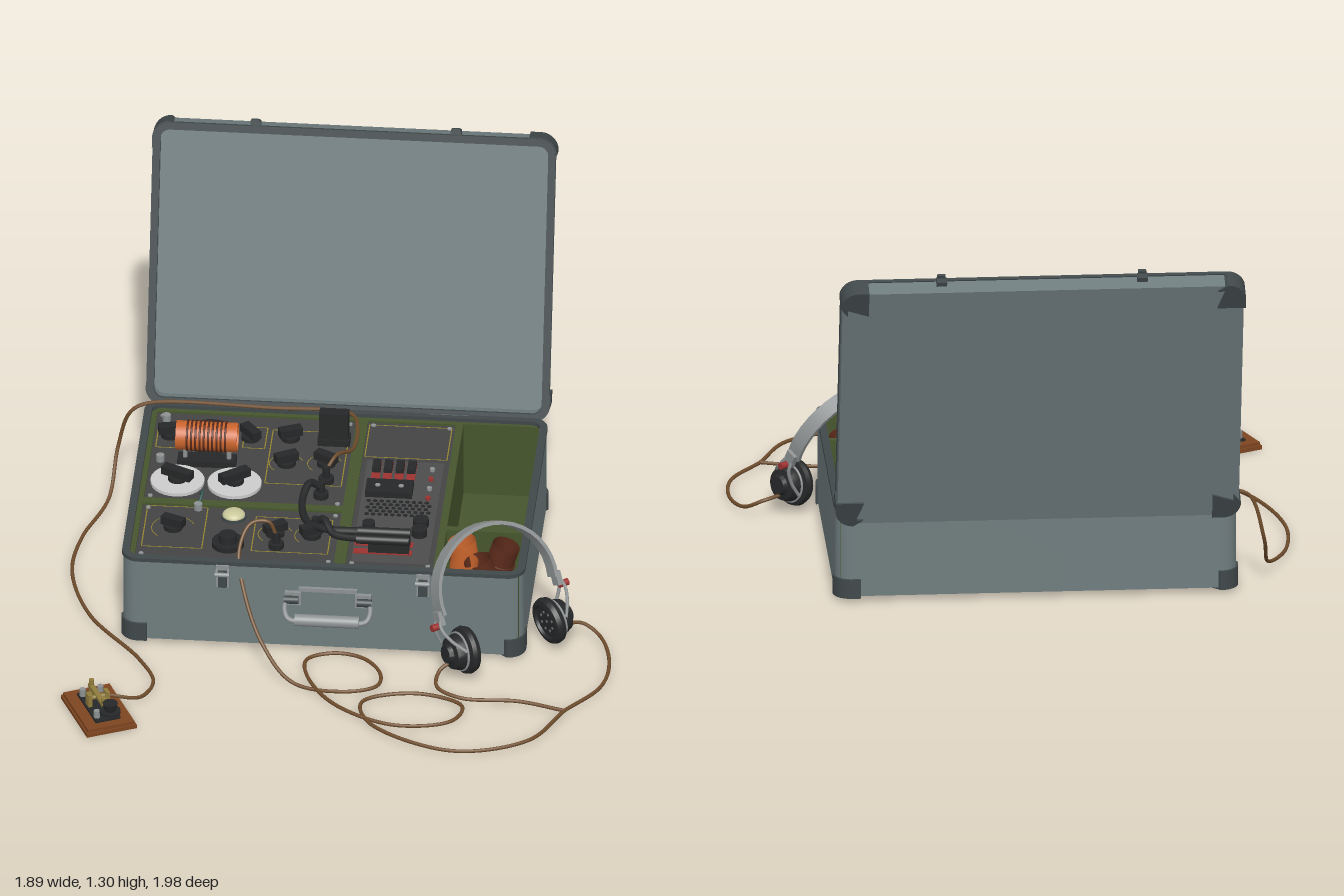
import * as THREE from 'three';
import { toCreasedNormals } from 'three/addons/utils/BufferGeometryUtils.js';

const C = { shell: 0x6f7c7e, trim: 0x40484a, panel: 0x444445, black: 0x262728, green: 0x46562d, yellow: 0x94852c,
  steel: 0x8d9192, white: 0xc4c4c0, orange: 0xc9642c, copper: 0x5a2a1a, wood: 0x7d4520, cable: 0x6e4c2c, red: 0x9c3230, brass: 0x8f7b3c };
const mats = {};
const mat = c => mats[c] ??= new THREE.MeshStandardMaterial({ color: c, side: THREE.DoubleSide });
const P = 0.322; // top of the instrument panels

function add(parent, name, geo, color, x = 0, y = 0, z = 0) {
  const m = new THREE.Mesh(geo, mat(color));
  m.name = name;
  m.position.set(x, y, z);
  parent.add(m);
  return m;
}
function group(parent, name, x = 0, y = 0, z = 0) {
  const g = new THREE.Group();
  g.name = name;
  g.position.set(x, y, z);
  parent.add(g);
  return g;
}
const box = (g, n, c, w, h, d, x, y, z) => add(g, n, new THREE.BoxGeometry(w, h, d), c, x, y, z);
const cyl = (g, n, c, r, h, x, y, z, r2 = r) => add(g, n, new THREE.CylinderGeometry(r2, r, h, 28), c, x, y, z);
const extrude = (s, depth) => toCreasedNormals(new THREE.ExtrudeGeometry(s, { depth, bevelEnabled: false, curveSegments: 10 }), 0.6);
const tube = (g, n, c, r, pts, seg = 80) => add(g, n,
  new THREE.TubeGeometry(new THREE.CatmullRomCurve3(pts.map(p => new THREE.Vector3(...p))), seg, r, 8), c);

function roundRect(w, h, r, S = THREE.Shape) {
  const s = new S(), a = w / 2 - r, b = h / 2 - r;
  s.absarc(a, b, r, 0, Math.PI / 2);
  s.absarc(-a, b, r, Math.PI / 2, Math.PI);
  s.absarc(-a, -b, r, Math.PI, Math.PI * 1.5);
  s.absarc(a, -b, r, Math.PI * 1.5, Math.PI * 2);
  s.closePath();
  return s;
}
function ringShape(w, h, r, t) {
  const s = roundRect(w, h, r);
  s.holes.push(roundRect(w - 2 * t, h - 2 * t, r - t, THREE.Path));
  return s;
}
// Rounded corner patch, solid or as a band
function cornerShape(s, r, e, t) {
  const c = new THREE.Shape();
  c.moveTo(e, -s);
  c.absarc(-r, -r, r + e, 0, Math.PI / 2);
  c.lineTo(-s, e);
  if (t) {
    c.lineTo(-s, -t);
    c.absarc(-r, -r, r - t, Math.PI / 2, 0, true);
    c.lineTo(-t, -s);
  } else c.lineTo(-s, -s);
  return c;
}
// Shallow tray open towards +z, with edge trim and corner protectors
function tray(g, w, h, depth, cornerDepth, size) {
  const r = 0.055, e = 0.007;
  add(g, 'walls', extrude(ringShape(w, h, r, 0.02), depth), C.shell);
  add(g, 'floor', extrude(roundRect(w - 0.002, h - 0.002, r), 0.015), C.shell);
  add(g, 'rim', extrude(ringShape(w + 0.008, h + 0.008, r + 0.004, 0.026), 0.014), C.trim, 0, 0, depth - 0.012);
  for (let k = 0; k < 4; k++) {
    const x = (k === 0 || k === 3 ? 1 : -1) * w / 2, y = (k < 2 ? 1 : -1) * h / 2;
    const c = group(g, 'cornerProtector', x, y);
    c.rotation.z = k * Math.PI / 2;
    add(c, 'cornerBand', extrude(cornerShape(size, r, e, 0.018), cornerDepth + e), C.trim, 0, 0, -e);
    add(c, 'cornerPlate', extrude(cornerShape(size, r, e, 0), e), C.trim, 0, 0, -e);
  }
}
// Flat yellow marking made from a rectangle x0..x1, z0..z1
function outline(g, x0, x1, z0, z1) {
  const m = add(g, 'marking', new THREE.ShapeGeometry(ringShape(x1 - x0, z1 - z0, 0.006, 0.004)), C.yellow, (x0 + x1) / 2, P + 0.002, (z0 + z1) / 2);
  m.rotation.x = -Math.PI / 2;
}
function arc(g, x, z, r, a, len) {
  add(g, 'scale', new THREE.RingGeometry(r - 0.003, r, 24, 1, a, len), C.yellow, x, P + 0.002, z).rotation.x = -Math.PI / 2;
}
function knob(parent, x, z, angle, len = 0.08, y = P) {
  const g = group(parent, 'knob', x, y, z);
  cyl(g, 'knobBase', C.black, 0.032, 0.016, 0, 0.008, 0);
  box(g, 'knobPointer', C.black, len, 0.03, 0.034, 0, 0.03, 0);
  g.rotation.y = angle;
}

function buildCase(root) {
  const g = group(root, 'case', -0.045, 0.02, -0.12);
  g.rotation.x = -Math.PI / 2;
  tray(g, 1.37, 0.99, 0.322, 0.062, 0.085);
  // Green frame with openings for panels and compartments (x0, x1, z0, z1)
  const holes = [[-0.69, -0.01, -0.575, -0.03], [-0.69, -0.01, 0.005, 0.335], [0.03, 0.33, -0.575, 0.335], [0.355, 0.62, -0.58, 0.065], [0.355, 0.62, 0.09, 0.335]];
  const s = new THREE.Shape([[-0.71, 0.6], [-0.71, -0.36], [0.625, -0.36], [0.625, 0.6]].map(p => new THREE.Vector2(...p)));
  holes.forEach(([a, b, c, d]) => s.holes.push(new THREE.Path([[a, -c], [b, -c], [b, -d], [a, -d]].map(p => new THREE.Vector2(...p)))));
  add(root, 'insert', extrude(s, 0.29), C.green, 0, 0.04, 0).rotation.x = -Math.PI / 2;
  box(root, 'compartmentFloor', C.green, 0.28, 0.01, 0.94, 0.488, 0.045, -0.12);
  holes.slice(0, 3).forEach(([a, b, c, d]) => {
    box(root, 'panel', C.panel, b - a, 0.02, d - c, (a + b) / 2, P - 0.01, (c + d) / 2);
    for (const x of [a + 0.02, b - 0.02]) for (const z of [c + 0.02, d - 0.02]) cyl(root, 'screw', C.steel, 0.008, 0.006, x, P + 0.002, z);
  });
  // Latches and hinges
  for (const x of [-0.385, 0.3]) {
    const l = group(root, 'latch', x, 0.29, 0.38);
    box(l, 'latchPlate', C.steel, 0.045, 0.085, 0.012, 0, 0, 0);
    box(l, 'latchLever', C.trim, 0.03, 0.06, 0.02, 0, -0.005, 0.012);
    cyl(l, 'latchBar', C.steel, 0.008, 0.05, 0, 0.025, 0.035).rotation.z = Math.PI / 2;
    for (const s of [-1, 1]) box(l, 'latchArm', C.steel, 0.006, 0.012, 0.04, s * 0.02, 0.025, 0.018);
    cyl(root, 'hinge', C.trim, 0.011, 0.14, x, 0.335, -0.617).rotation.z = Math.PI / 2;
  }
  // Carrying handle
  const h = group(root, 'handle', -0.025, 0, 0);
  for (const s of [-1, 1]) {
    box(h, 'handleBracket', C.steel, 0.055, 0.05, 0.014, s * 0.12, 0.215, 0.382);
    cyl(h, 'handlePivot', C.trim, 0.014, 0.05, s * 0.125, 0.215, 0.395).rotation.z = Math.PI / 2;
  }
  box(h, 'handleRest', C.steel, 0.2, 0.014, 0.012, 0, 0.252, 0.382);
  tube(h, 'handleWire', C.steel, 0.009, [[-0.145, 0.22, 0.395], [-0.145, 0.18, 0.415], [-0.13, 0.158, 0.428], [0, 0.155, 0.43], [0.13, 0.158, 0.428], [0.145, 0.18, 0.415], [0.145, 0.22, 0.395]]);
  cyl(h, 'handleGrip', C.steel, 0.021, 0.22, 0, 0.157, 0.43).rotation.z = Math.PI / 2;
}

function buildLid(root) {
  const hinge = group(root, 'lid', -0.045, 0.335, -0.615);
  hinge.rotation.x = -0.303;
  const g = group(hinge, 'lidTray', 0, 0.495, -0.075);
  tray(g, 1.37, 0.99, 0.075, 0.07, 0.09);
  for (const x of [-0.34, 0.345]) {
    box(g, 'latchCatch', C.trim, 0.036, 0.016, 0.03, x, 0.503, 0.05);
    box(g, 'latchHook', C.trim, 0.028, 0.022, 0.012, x, 0.51, 0.066);
  }
}

function buildPanels(root) {
  const g = group(root, 'instruments');
  // Yellow markings
  [[-0.29, -0.025, -0.5, -0.16], [-0.68, -0.595, -0.5, -0.355], [-0.385, -0.305, -0.51, -0.375], [-0.675, -0.465, 0.01, 0.27],
    [-0.3, -0.035, 0.05, 0.27], [0.035, 0.32, -0.56, -0.355], [0.125, 0.22, 0.05, 0.145]].forEach(r => outline(g, ...r));
  [[-0.225, -0.29, 0.06], [-0.095, -0.3, 0.06], [-0.225, 0.155, 0.06], [-0.1, 0.155, 0.06], [-0.575, 0.145, 0.075]].forEach(([x, z, r]) => arc(g, x, z, r, 0.4, 3.6));
  // Pointer knobs
  [[-0.635, -0.435, 0.2], [-0.36, -0.44, -0.9], [-0.225, -0.45, 0.4], [-0.225, -0.29, 0.5], [-0.09, -0.3, -0.5],
    [-0.575, 0.145, -0.4], [-0.225, 0.155, 0.6], [-0.1, 0.155, 0.5]].forEach(k => knob(g, ...k));
  // White tuning dials
  for (const [x, a] of [[-0.585, -0.45], [-0.39, 0.65]]) {
    cyl(g, 'dial', C.white, 0.092, 0.012, x, P + 0.006, -0.145);
    knob(g, x, -0.145, a, 0.11, P + 0.01);
  }
  // Meter
  cyl(g, 'meterBody', C.black, 0.09, 0.03, -0.495, P + 0.015, -0.42, 0.084);
  add(g, 'meterFace', new THREE.CircleGeometry(0.066, 24, 0, Math.PI), C.white, -0.495, P + 0.032, -0.415).rotation.x = -Math.PI / 2;
  cyl(g, 'meterHub', C.trim, 0.02, 0.012, -0.495, P + 0.03, -0.41);
  // Plug-in coil
  const coil = group(g, 'coil', -0.495, 0.43, -0.275);
  coil.rotation.z = Math.PI / 2;
  add(coil, 'coilForm', new THREE.CylinderGeometry(0.05, 0.05, 0.21, 32, 1, true), C.orange);
  add(coil, 'coilBore', new THREE.CylinderGeometry(0.043, 0.043, 0.21, 32, 1, true), C.orange);
  for (const s of [-1, 1]) add(coil, 'coilEnd', new THREE.RingGeometry(0.043, 0.05, 32), C.orange, 0, s * 0.105, 0).rotation.x = Math.PI / 2;
  for (let i = 0; i < 10; i++) add(coil, 'winding', new THREE.TorusGeometry(0.051, 0.004, 6, 28), C.copper, 0, -0.065 + i * 0.0145, 0).rotation.x = Math.PI / 2;
  box(g, 'coilBase', C.black, 0.2, 0.022, 0.06, -0.495, P + 0.011, -0.275);
  for (const s of [-1, 1]) cyl(g, 'coilPin', C.steel, 0.008, 0.05, -0.495 + s * 0.075, 0.358, -0.275);
  // Crystal plug, key jack, lamp and round control
  box(g, 'crystal', C.black, 0.1, 0.1, 0.042, -0.075, 0.397, -0.44);
  box(g, 'crystalSocket', C.black, 0.11, 0.025, 0.055, -0.075, P + 0.012, -0.44);
  cyl(g, 'lampBezel', C.trim, 0.043, 0.01, -0.375, P + 0.005, 0.06);
  const lamp = add(g, 'lamp', new THREE.SphereGeometry(0.039, 24, 8, 0, Math.PI * 2, 0, Math.PI / 2), 0xc9c79a, -0.375, P + 0.01, 0.06);
  lamp.scale.y = 0.5;
  cyl(g, 'controlSkirt', C.black, 0.055, 0.018, -0.38, P + 0.009, 0.235);
  cyl(g, 'controlCap', C.black, 0.034, 0.045, -0.38, P + 0.022, 0.235, 0.03);
  [[-0.08, -0.19], [-0.215, 0.235], [-0.09, -0.095], [-0.09, 0.13]].forEach(([x, z]) => {
    cyl(g, 'jack', C.black, 0.026, 0.02, x, P + 0.01, z);
    cyl(g, 'jackPlug', C.black, 0.013, 0.05, x, P + 0.035, z);
  });
  [[-0.655, -0.53], [-0.655, -0.275], [-0.5, 0.02]].forEach(([x, z]) => cyl(g, 'terminal', C.steel, 0.014, 0.025, x, P + 0.012, z));
  tube(g, 'wire', 0x2f5c54, 0.004, [[-0.5, 0.335, -0.06], [-0.49, 0.36, -0.03], [-0.5, 0.335, 0.02]], 16);

  // Power unit in the middle column
  const p = group(g, 'powerUnit', 0.18, P, 0);
  box(p, 'powerPlate', 0x4c4c4d, 0.265, 0.006, 0.64, 0, 0.003, -0.01);
  for (let i = 0; i < 4; i++) {
    box(p, 'fuseMark', C.red, 0.03, 0.004, 0.11, -0.095 + i * 0.04, 0.007, -0.265);
    box(p, 'fuse', C.black, 0.028, 0.024, 0.06, -0.095 + i * 0.04, 0.014, -0.28);
  }
  box(p, 'outlet', C.black, 0.16, 0.025, 0.085, -0.04, 0.016, -0.14);
  for (const s of [-1, 1]) cyl(p, 'outletHole', C.steel, 0.009, 0.004, -0.04 + s * 0.04, 0.03, -0.14);
  for (let i = 0; i < 5; i++) for (let j = 0; j < 10; j++)
    cyl(p, 'vent', C.black, 0.0075, 0.003, -0.105 + j * 0.022 + (i % 2) * 0.011, 0.007, -0.075 + i * 0.021);
  for (let i = 0; i < 4; i++) cyl(p, 'indicator', i % 2 ? C.red : C.steel, 0.009, 0.012, 0.095, 0.01, -0.28 + i * 0.06);
  [[-0.09, 0.1, 0.022], [0.085, 0.065, 0.027], [0.085, 0.125, 0.027]].forEach(([x, z, r]) => cyl(p, 'button', C.black, r, 0.03, x, 0.018, z));
  for (const z of [0.195, 0.245]) {
    box(p, 'plugMark', C.red, 0.2, 0.004, 0.03, -0.03, 0.007, z);
    cyl(p, 'plug', C.black, 0.016, 0.18, -0.03, 0.055, z).rotation.z = Math.PI / 2;
    box(p, 'plugFoot', C.black, 0.14, 0.045, 0.02, -0.01, 0.024, z);
  }
  tube(g, 'patchLead', C.black, 0.013, [[-0.09, 0.36, -0.095], [-0.125, 0.39, -0.075], [-0.145, 0.37, 0.01], [-0.12, 0.36, 0.12], [-0.05, 0.37, 0.18], [0.07, 0.377, 0.195]]);
  tube(g, 'patchLead', C.black, 0.013, [[-0.09, 0.36, 0.13], [-0.06, 0.39, 0.15], [-0.02, 0.37, 0.21], [0.07, 0.377, 0.245]]);

  // Spare coils stored in the small compartment
  [[0.43, 0.15, C.orange, 0.15], [0.53, 0.16, C.copper, -0.3], [0.51, 0.26, C.copper, 0.3], [0.42, 0.27, C.orange, -0.1]].forEach(([x, z, c, tilt]) => {
    const s = group(g, 'spareCoil', x, 0.21, z);
    s.rotation.z = tilt;
    add(s, 'spareForm', new THREE.CylinderGeometry(0.048, 0.048, 0.24, 28, 1, true), c);
    for (let i = 0; i < 6; i++) add(s, 'spareWinding', new THREE.TorusGeometry(0.049, 0.004, 6, 24), C.copper, 0, -0.05 + i * 0.02, 0).rotation.x = Math.PI / 2;
  });
}

function buildHeadphones(root) {
  const u = new THREE.Vector3(0.79, 0, -0.61).normalize(), v = new THREE.Vector3(-0.11, 0.35, -0.142).normalize();
  const w = new THREE.Vector3().crossVectors(u, v);
  const g = group(root, 'headphones', 0.5875, 0.105, 0.38);
  g.quaternion.setFromRotationMatrix(new THREE.Matrix4().makeBasis(u, v, w));
  // Sprung headband
  const s = new THREE.Shape();
  s.absellipse(0, 0.17, 0.235, 0.225, -0.15, Math.PI + 0.15, false);
  s.absellipse(0, 0.17, 0.222, 0.212, Math.PI + 0.15, -0.15, true);
  add(g, 'headband', extrude(s, 0.056), C.steel, 0, 0, -0.028);
  // Ear cups turned around their axis; the perforated face points inwards
  const profile = [[0, 0.06], [0.03, 0.06], [0.036, 0.045], [0.055, 0.04], [0.064, 0.015], [0.064, 0], [0.08, -0.005], [0.084, -0.02], [0.078, -0.036], [0.062, -0.04], [0.058, -0.03], [0, -0.03]].map(p => new THREE.Vector2(...p));
  for (const k of [-1, 1]) {
    const c = group(g, 'earCup', k * 0.19, 0, 0);
    c.rotation.z = -k * (Math.PI / 2 - 0.08);
    add(c, 'cup', toCreasedNormals(new THREE.LatheGeometry(profile.slice().reverse(), 36), 0.5), C.black);
    add(c, 'cupRing', new THREE.TorusGeometry(0.066, 0.004, 8, 36), C.steel, 0, 0.006, 0).rotation.x = Math.PI / 2;
    for (let i = 0; i < 9; i++) {
      const a = i * Math.PI / 4, r = i < 8 ? 0.034 : 0;
      cyl(c, 'cupHole', 0x6a6c6d, 0.005, 0.003, r * Math.cos(a), -0.031, r * Math.sin(a));
    }
    for (const z of [-0.02, 0.02]) tube(g, 'yoke', C.steel, 0.006, [[k * 0.23, 0.15, z * 0.6], [k * 0.25, 0.1, z], [k * 0.235, 0.05, z * 2], [k * 0.2, 0, z * 3.3]], 20);
    box(g, 'slider', C.steel, 0.02, 0.05, 0.04, k * 0.238, 0.13, 0);
    cyl(g, 'adjuster', C.red, 0.012, 0.035, k * 0.258, 0.105, 0).rotation.z = Math.PI / 2;
  }
}

function buildKey(root) {
  const g = group(root, 'morseKey', -0.77, 0, 0.83);
  g.rotation.y = 0.43; // length runs along local z
  box(g, 'keyBase', C.wood, 0.18, 0.014, 0.265, 0, 0.007, 0);
  box(g, 'keyBaseTop', C.wood, 0.168, 0.012, 0.253, 0, 0.02, 0);
  box(g, 'keyPlate', C.black, 0.09, 0.008, 0.19, 0, 0.03, 0);
  box(g, 'lever', C.brass, 0.018, 0.012, 0.2, 0, 0.066, 0.015);
  cyl(g, 'pivot', C.brass, 0.008, 0.08, 0, 0.062, -0.01).rotation.z = Math.PI / 2;
  for (const s of [-1, 1]) {
    box(g, 'pivotPost', C.brass, 0.014, 0.05, 0.03, s * 0.032, 0.055, -0.01);
    for (const z of [-0.075, 0.07]) cyl(g, 'keyTerminal', C.steel, 0.011, 0.03, s * 0.032, 0.045, z);
  }
  for (const z of [-0.075, 0.05]) cyl(g, 'contactScrew', C.brass, 0.009, 0.06, 0, 0.062, z);
  cyl(g, 'keySkirt', C.black, 0.036, 0.008, 0, 0.078, 0.115);
  cyl(g, 'keyKnob', C.black, 0.018, 0.03, 0, 0.096, 0.115, 0.026);
}

function buildCables(root) {
  const y = 0.014, r = 0.0065;
  tube(root, 'keyCable', C.cable, r, [[-0.08, 0.37, -0.19], [-0.05, 0.4, -0.24], [-0.005, 0.36, -0.34], [0, 0.35, -0.5], [-0.03, 0.352, -0.58], [-0.3, 0.355, -0.588],
    [-0.72, 0.36, -0.575], [-0.78, 0.33, -0.565], [-0.825, 0.18, -0.57], [-0.845, 0.05, -0.45], [-0.92, y, -0.25], [-0.935, y, -0.03],
    [-0.85, y, 0.24], [-0.66, y, 0.5], [-0.6, y, 0.64], [-0.64, 0.02, 0.75], [-0.72, 0.045, 0.785], [-0.77, 0.045, 0.775]], 160);
  tube(root, 'headphoneCable', C.cable, r, [[-0.215, 0.37, 0.235], [-0.24, 0.425, 0.237], [-0.3, 0.42, 0.245], [-0.335, 0.35, 0.31], [-0.31, 0.24, 0.4], [-0.24, 0.1, 0.5], [-0.13, y, 0.6],
    [0.05, y, 0.645], [0.16, y, 0.6], [0.165, y, 0.52], [0.1, y, 0.43], [0, y, 0.405], [-0.09, y, 0.45], [-0.08, y, 0.56], [0.03, y, 0.73], [0.24, y, 0.84], [0.43, y, 0.8],
    [0.46, y, 0.7], [0.3, y, 0.635], [0.12, y, 0.7], [0.16, y, 0.84], [0.45, y, 0.985], [0.7, y, 0.9], [0.81, y, 0.7]], 240);
  tube(root, 'earCable', C.cable, r, [[0.81, y, 0.7], [0.92, y, 0.54], [0.935, y, 0.37], [0.89, 0.03, 0.24], [0.83, 0.06, 0.215], [0.77, 0.07, 0.24]]);
  tube(root, 'earCable', C.cable, r, [[0.81, y, 0.7], [0.65, y, 0.655], [0.45, y, 0.65], [0.365, 0.025, 0.6], [0.37, 0.05, 0.54], [0.4, 0.07, 0.52]]);
}

export function createModel() {
  const root = new THREE.Group();
  root.name = 'suitcaseRadio';
  [buildCase, buildLid, buildPanels, buildHeadphones, buildKey, buildCables].forEach(f => f(root));
  return root;
}
